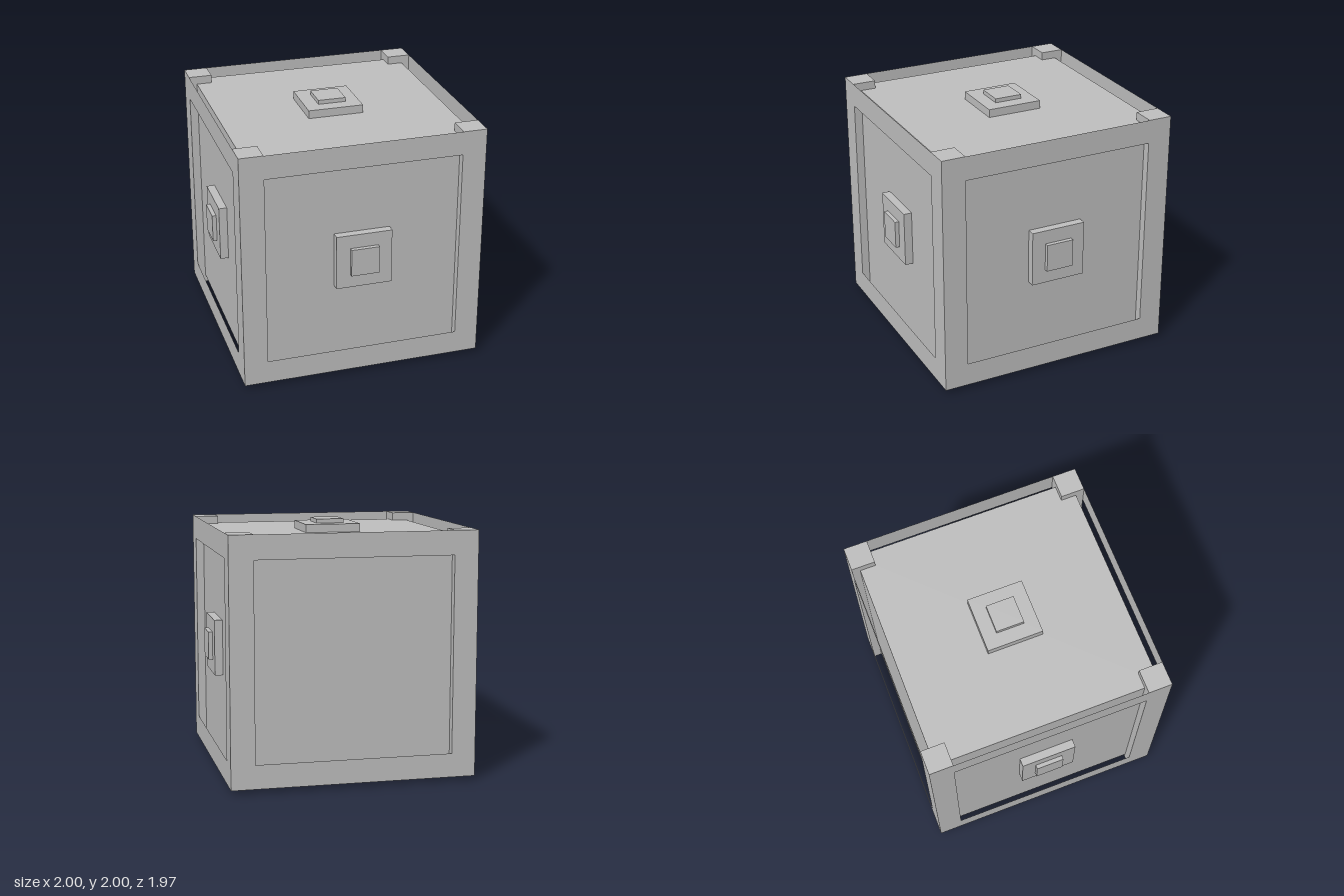
import * as THREE from 'three';

export function createModel() {
  const model = new THREE.Group();
  const grey = new THREE.MeshStandardMaterial({ color: 0xc0c0c0 });
  grey.name = 'light grey';
  grey.side = THREE.DoubleSide; // the rails are open sheets

  const H = 0.967;     // half size of the outer frame
  const CORE = 0.902;  // half size of the inner block
  const POST = 0.19;   // width of posts and rails
  const body = new THREE.Group();
  body.name = 'body';
  body.position.set(0, 1, -0.017);
  model.add(body);

  const add = (parent, name, geometry, x, y, z) => {
    const mesh = new THREE.Mesh(geometry, grey);
    mesh.name = name;
    mesh.position.set(x, y, z);
    parent.add(mesh);
    return mesh;
  };

  add(body, 'core', new THREE.BoxGeometry(2 * CORE, 2 * CORE, 2 * CORE), 0, 0, 0);

  // Full-height corner posts
  const postGeometry = new THREE.BoxGeometry(POST, 2 * H, POST);
  const p = H - POST / 2;
  for (const sx of [-1, 1]) for (const sz of [-1, 1]) {
    add(body, 'cornerPost', postGeometry, sx * p, 0, sz * p);
  }

  // Sheet rails joining the posts at top and bottom of each side
  const railGeometry = new THREE.PlaneGeometry(2 * (H - POST), POST);
  for (let i = 0; i < 4; i++) {
    const side = new THREE.Group();
    side.name = 'sideRails';
    side.rotation.y = i * Math.PI / 2;
    add(side, 'topRail', railGeometry, 0, p, H);
    add(side, 'bottomRail', railGeometry, 0, -p, H);
    body.add(side);
  }

  // Stepped square studs on every face except the back
  const plateGeometry = new THREE.BoxGeometry(0.446, 0.446, H - CORE);
  const buttonGeometry = new THREE.BoxGeometry(0.224, 0.224, 1 - H);
  const q = Math.PI / 2;
  for (const [name, rx, ry] of [
    ['frontStud', 0, 0], ['leftStud', 0, q], ['rightStud', 0, -q],
    ['topStud', -q, 0], ['bottomStud', q, 0],
  ]) {
    const stud = new THREE.Group();
    stud.name = name;
    stud.rotation.set(rx, ry, 0);
    add(stud, 'studPlate', plateGeometry, 0, 0, (H + CORE) / 2);
    add(stud, 'studButton', buttonGeometry, 0, 0, (1 + H) / 2);
    body.add(stud);
  }

  return model;
}
